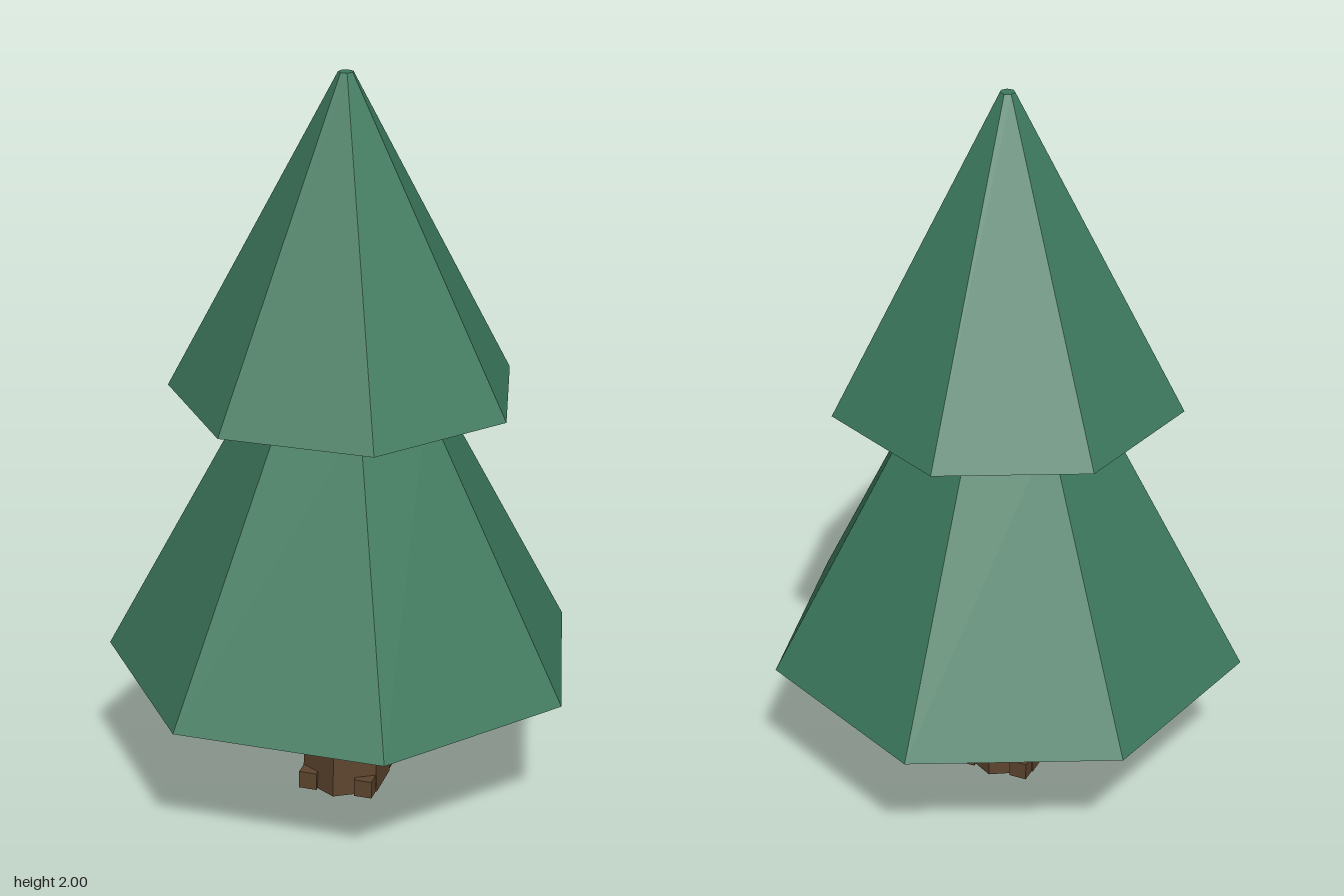
import * as THREE from 'three';

export function createModel() {
  const tree = new THREE.Group();
  tree.name = 'pineTree';
  const needles = new THREE.MeshStandardMaterial({ name: 'needleGreen', color: 0x3d795d, flatShading: true });
  const bark = new THREE.MeshStandardMaterial({ name: 'barkBrown', color: 0x5c442d, flatShading: true });
  const axisZ = 0.032;

  // Tapered prism between two heights, with one corner pointing to the back
  function tier(name, rTop, rBottom, y0, y1, sides, material) {
    const geo = new THREE.CylinderGeometry(rTop, rBottom, y1 - y0, sides, 1, false, Math.PI);
    const mesh = new THREE.Mesh(geo, material);
    mesh.name = name;
    mesh.position.set(0, (y0 + y1) / 2, axisZ);
    tree.add(mesh);
  }

  // Seven-sided foliage
  tier('lowerFoliage', 0.24, 0.65, 0.388, 1.155, 7, needles);
  tier('upperFoliage', 0.02, 0.47, 1.15, 2, 7, needles);

  // Six-sided trunk
  tier('trunk', 0.1, 0.124, 0, 0.395, 6, bark);

  // Small root blocks on the diagonals of the trunk foot
  for (const sx of [-1, 1]) {
    for (const sz of [-1, 1]) {
      const root = new THREE.Mesh(new THREE.BoxGeometry(0.05, 0.05, 0.045), bark);
      root.name = 'root';
      root.position.set(sx * 0.079, 0.025, axisZ + sz * 0.081);
      tree.add(root);
    }
  }
  return tree;
}
